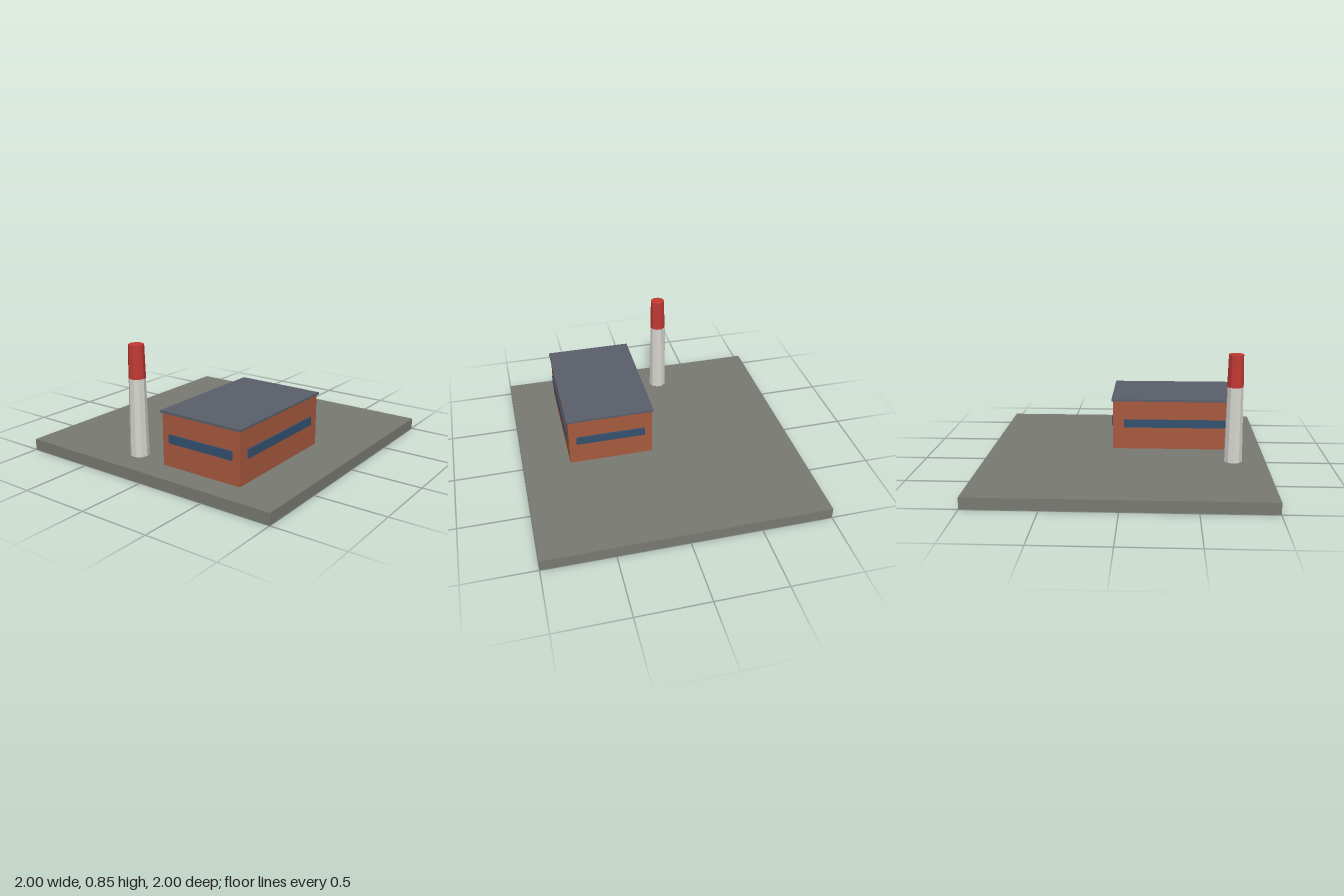
import * as THREE from 'three';

const material = (color) => new THREE.MeshStandardMaterial({ color, flatShading: true });

export function createModel() {
  const model = new THREE.Group();
  model.name = 'factory';

  const ground = material(0x7a7a74);
  const brick = material(0xa85a3e);
  const slate = material(0x5a5f6b);
  const glass = material(0x34526f);
  const concrete = material(0xd6d5cf);
  const red = material(0xc23a34);

  const add = (name, geometry, mat, x, y, z) => {
    const mesh = new THREE.Mesh(geometry, mat);
    mesh.name = name;
    mesh.position.set(x, y, z);
    model.add(mesh);
  };
  // Box standing on height y
  const box = (name, mat, w, h, d, x, y, z) =>
    add(name, new THREE.BoxGeometry(w, h, d), mat, x, y + h / 2, z);

  // Ground slab
  box('groundSlab', ground, 2, 0.08, 2, 0, 0, 0);

  // Hall with overhanging flat roof
  const cx = -0.36, cz = 0.355, w = 0.915, d = 0.61;
  box('hallWalls', brick, w, 0.363, d, cx, 0.08, cz);
  box('hallRoof', slate, w + 0.022, 0.015, d + 0.022, cx, 0.443, cz);

  // Window strips on all four walls
  const t = 0.02;
  for (const s of [-1, 1]) {
    box(s > 0 ? 'frontWindow' : 'backWindow', glass, 0.75, 0.06, t, cx, 0.245, cz + s * d / 2);
    box(s > 0 ? 'leftWindow' : 'rightWindow', glass, t, 0.06, 0.5, cx + s * w / 2, 0.245, cz);
  }

  // Tapered chimney: pale shaft and red top band
  const chimney = (name, mat, rTop, rBottom, y0, y1) =>
    add(name, new THREE.CylinderGeometry(rTop, rBottom, y1 - y0, 10), mat, -0.77, (y0 + y1) / 2, -0.205);
  chimney('chimneyShaft', concrete, 0.057, 0.066, 0.08, 0.62);
  chimney('chimneyTop', red, 0.053, 0.058, 0.62, 0.848);

  return model;
}
